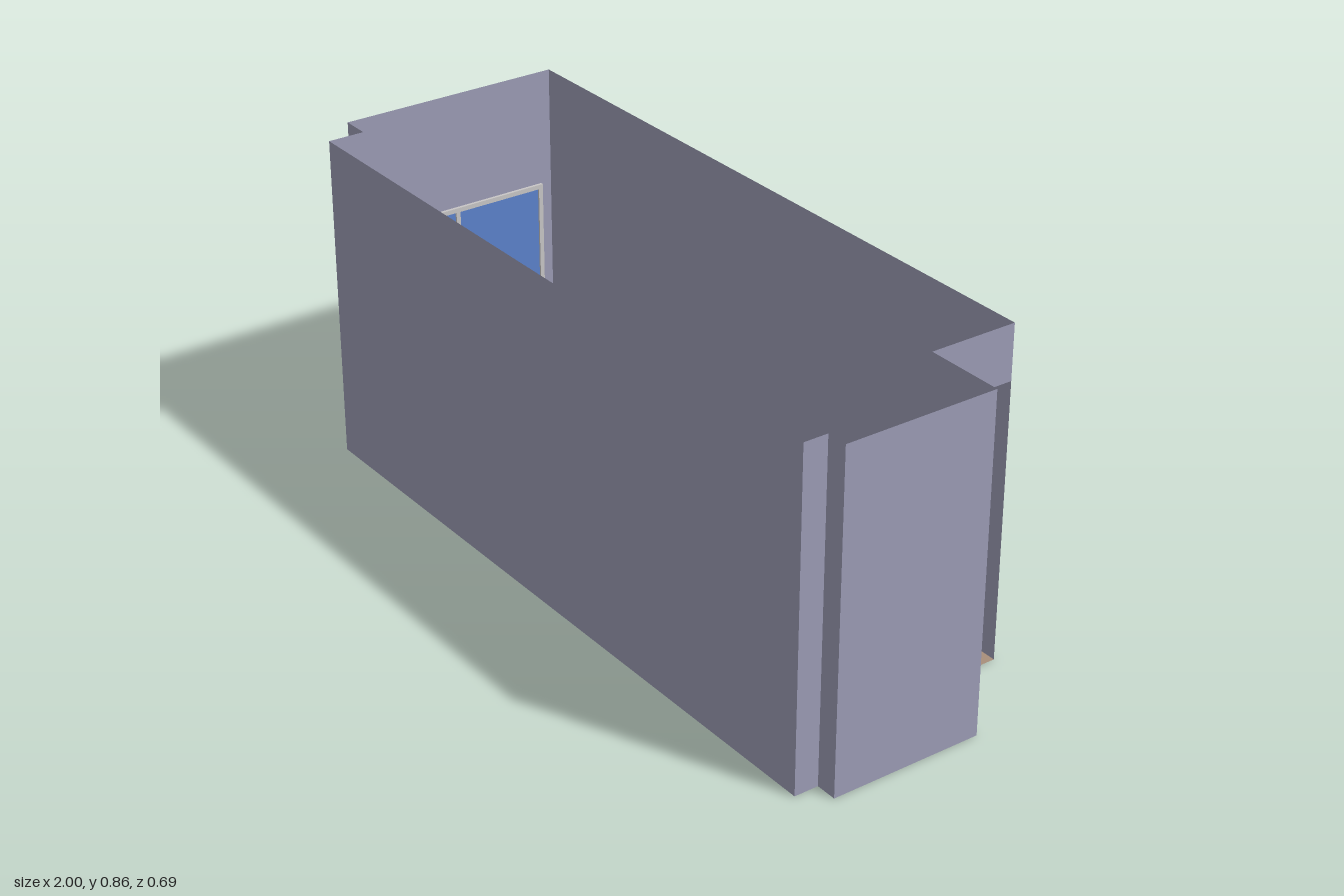
import * as THREE from 'three';

const HEIGHT = 0.856;

// Room outline as [x, z] corners
const PLAN = [
  [-0.992, -0.346], [0.793, -0.346], [0.793, -0.115], [0.998, -0.115], [0.998, 0.283],
  [0.943, 0.283], [0.943, 0.346], [-0.917, 0.346], [-0.917, 0.25], [-0.992, 0.25],
];
const DOOR = { width: 0.201, height: 0.715 };
const WINDOW = { z0: -0.315, z1: 0.205, y0: 0.214, y1: 0.546, bar: 0.012 };

const rect = (u0, v0, u1, v1, Type = THREE.Shape) =>
  new Type([[u0, v0], [u1, v0], [u1, v1], [u0, v1]].map(p => new THREE.Vector2(...p)));

export function createModel() {
  const model = new THREE.Group();
  model.name = 'room';

  const paint = (name, color, side = THREE.FrontSide) =>
    Object.assign(new THREE.MeshStandardMaterial({ color, side }), { name });
  const wallPaint = paint('wall grey', 0x9b9bb4, THREE.DoubleSide);
  const floorPaint = paint('floor brown', 0xa88e7a, THREE.DoubleSide);
  const framePaint = paint('frame grey', 0xc8c6c6);
  const glassPaint = paint('glass blue', 0x5b82cb);

  const add = (parent, name, geometry, material) => {
    const mesh = new THREE.Mesh(geometry, material);
    mesh.name = name;
    parent.add(mesh);
    return mesh;
  };

  // Floor sheet
  const floorShape = new THREE.Shape(PLAN.map(([x, z]) => new THREE.Vector2(x, -z)));
  add(model, 'floor', new THREE.ShapeGeometry(floorShape).rotateX(-Math.PI / 2), floorPaint);

  // Thin walls along each side of the plan
  const walls = new THREE.Group();
  walls.name = 'walls';
  model.add(walls);
  const names = ['backWall', 'doorWall', 'alcoveWall', 'rightWall', 'frontRightReturn',
    'frontRightStep', 'frontWall', 'frontLeftStep', 'frontLeftReturn', 'windowWall'];
  PLAN.forEach(([x, z], i) => {
    const [x2, z2] = PLAN[(i + 1) % PLAN.length];
    const length = Math.hypot(x2 - x, z2 - z);
    let shape = rect(0, 0, length, HEIGHT);
    if (names[i] === 'doorWall') { // doorway open to the floor, beside the back wall
      shape = new THREE.Shape([
        [0, DOOR.height], [DOOR.width, DOOR.height], [DOOR.width, 0],
        [length, 0], [length, HEIGHT], [0, HEIGHT],
      ].map(p => new THREE.Vector2(...p)));
    }
    if (names[i] === 'windowWall') {
      const { z0, z1, y0, y1 } = WINDOW;
      shape.holes.push(rect(z - z1 + 0.005, y0 + 0.005, z - z0 - 0.005, y1 - 0.005, THREE.Path));
    }
    const wall = add(walls, names[i], new THREE.ShapeGeometry(shape), wallPaint);
    wall.position.set(x, 0, z);
    wall.rotation.y = Math.atan2(z - z2, x2 - x);
  });

  // Two-pane window set through the left wall
  const { z0, z1, y0, y1, bar } = WINDOW;
  const windowGroup = new THREE.Group();
  windowGroup.name = 'window';
  windowGroup.position.x = PLAN[0][0];
  windowGroup.rotation.y = -Math.PI / 2;
  model.add(windowGroup);

  const mid = (z0 + z1) / 2;
  const panes = [[z0 + bar, mid - bar / 2], [mid + bar / 2, z1 - bar]];
  const frameShape = rect(z0, y0, z1, y1);
  panes.forEach(([a, b]) => frameShape.holes.push(rect(a, y0 + bar, b, y1 - bar, THREE.Path)));
  const frame = new THREE.ExtrudeGeometry(frameShape, { depth: 0.016, bevelEnabled: false });
  add(windowGroup, 'windowFrame', frame.translate(0, 0, -0.008), framePaint);

  panes.forEach(([a, b], i) => {
    const pane = new THREE.BoxGeometry(b - a, y1 - y0 - 2 * bar, 0.006);
    add(windowGroup, `windowPane${i + 1}`, pane, glassPaint)
      .position.set((a + b) / 2, (y0 + y1) / 2, 0);
  });

  return model;
}
